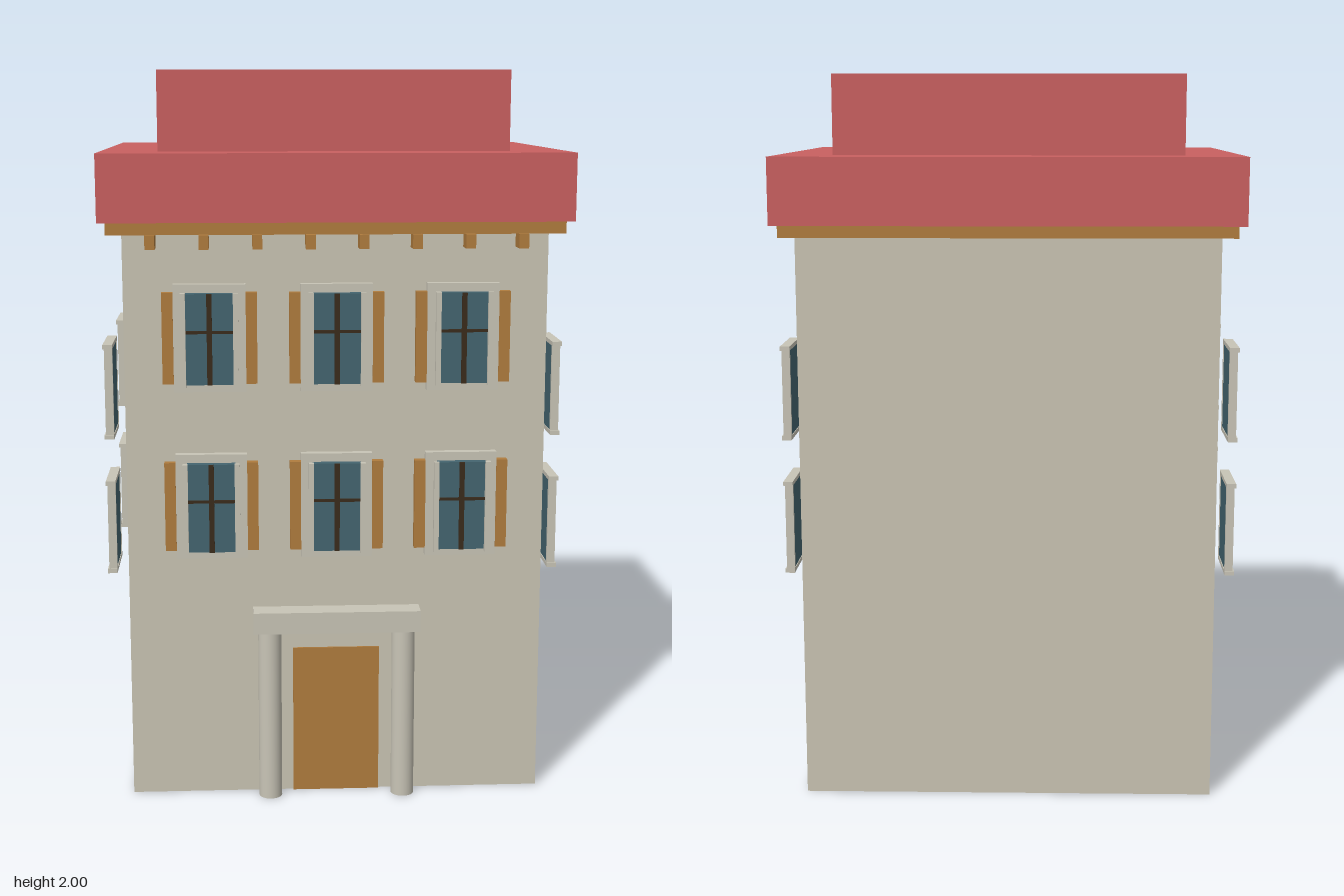
import * as THREE from 'three';

const mat = (name, color) => Object.assign(new THREE.MeshStandardMaterial({ color }), { name });

export function createModel() {
  const wall = mat('wall plaster', 0xc9c4b3);
  const trim = mat('stone trim', 0xc8c4b6);
  const wood = mat('ochre wood', 0xb07c3e);
  const roof = mat('red roof', 0xc96060);
  const glass = mat('window glass', 0x446570);
  const dark = mat('dark glazing bars', 0x3a2b1c);

  const house = new THREE.Group();
  house.name = 'house';

  // Box given by its limits on each axis
  const box = (parent, name, material, [x0, x1], [y0, y1], [z0, z1]) => {
    const mesh = new THREE.Mesh(new THREE.BoxGeometry(x1 - x0, y1 - y0, z1 - z0), material);
    mesh.position.set((x0 + x1) / 2, (y0 + y1) / 2, (z0 + z1) / 2);
    mesh.name = name;
    parent.add(mesh);
    return mesh;
  };
  const group = (name, x, y, z) => {
    const g = new THREE.Group();
    g.name = name;
    g.position.set(x, y, z);
    house.add(g);
    return g;
  };

  // Body, cornice and stepped roof
  box(house, 'walls', wall, [-0.57, 0.57], [0, 1.575], [-0.478, 0.474]);
  box(house, 'cornice', wood, [-0.61, 0.61], [1.572, 1.605], [-0.517, 0.513]);
  box(house, 'lowerRoof', roof, [-0.63, 0.63], [1.605, 1.785], [-0.54, 0.535]);
  box(house, 'upperRoof', roof, [-0.475, 0.475], [1.785, 2], [-0.388, 0.382]);

  // Brackets under the front eaves
  for (let i = 0; i < 8; i++) {
    const x = -0.493 + i * 0.141;
    box(house, 'eavesBracket', wood, [x - 0.013, x + 0.013], [1.535, 1.573], [0.474, 0.537]);
  }

  // Shuttered front windows; local z = 0 is the wall face
  const frontWindow = (x, y) => {
    const w = group('frontWindow', x, y, 0.474);
    box(w, 'surround', trim, [-0.085, 0.085], [-0.145, 0.145], [0, 0.024]);
    box(w, 'pane', glass, [-0.066, 0.066], [-0.122, 0.122], [0.02, 0.048]);
    box(w, 'mullion', dark, [-0.007, 0.007], [-0.122, 0.122], [0.046, 0.053]);
    box(w, 'glazingBar', dark, [-0.066, 0.066], [0.016, 0.024], [0.046, 0.052]);
    for (const s of [-1, 1]) {
      const span = (a, b) => (s > 0 ? [a, b] : [-b, -a]);
      box(w, 'surroundEdge', trim, span(0.085, 0.097), [-0.145, 0.145], [0, 0.024]);
      box(w, 'shutter', wood, span(0.097, 0.127), [-0.123, 0.123], [0.003, 0.026]);
      box(w, 'frameBar', trim, span(0.063, 0.077), [-0.127, 0.125], [0.048, 0.062]);
    }
  };
  for (const y of [0.833, 1.295]) for (const x of [-0.34, 0, 0.34]) frontWindow(x, y);

  // Side windows, standing proud of the wall; local +z points outward
  const sideWindow = (side, y, z) => {
    const w = group('sideWindow', side * 0.612, y, z);
    w.rotation.y = side * Math.PI / 2;
    box(w, 'pane', glass, [-0.082, 0.082], [-0.122, 0.122], [0.002, 0.016]);
    box(w, 'mullion', dark, [-0.006, 0.006], [-0.12, 0.12], [0.015, 0.021]);
    box(w, 'lintel', trim, [-0.094, 0.094], [0.121, 0.133], [0, 0.027]);
    box(w, 'sill', trim, [-0.094, 0.094], [-0.133, -0.121], [0, 0.027]);
    for (const s of [-1, 1]) {
      const x = s * 0.085;
      box(w, 'jamb', trim, [x - 0.005, x + 0.005], [-0.121, 0.121], [0, 0.023]);
    }
  };
  for (const side of [-1, 1]) {
    for (const y of [0.738, 1.124]) for (const z of [-0.254, 0.254]) sideWindow(side, y, z);
  }

  // Entrance: door, two round columns and the beam they carry
  box(house, 'door', wood, [-0.12, 0.12], [0, 0.42], [0.472, 0.479]);
  box(house, 'porticoBeam', trim, [-0.23, 0.23], [0.48, 0.54], [0.474, 0.538]);
  const columnGeometry = new THREE.CylinderGeometry(0.032, 0.032, 0.48, 24);
  for (const s of [-1, 1]) {
    const column = new THREE.Mesh(columnGeometry, trim);
    column.position.set(s * 0.185, 0.24, 0.506);
    column.name = 'column';
    house.add(column);
  }

  return house;
}
